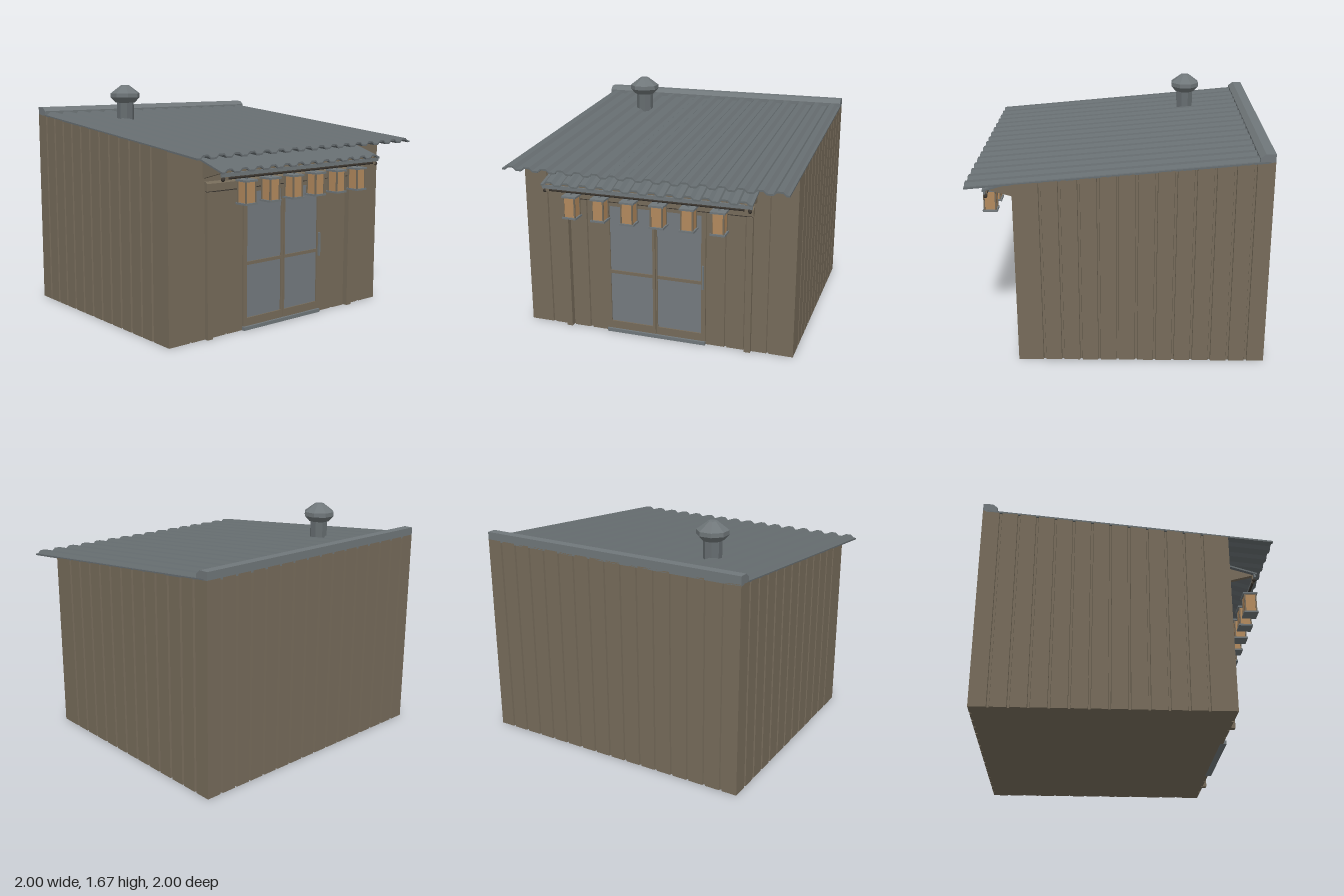
import * as THREE from 'three';

const mat = (name, color) => {
  const m = new THREE.MeshStandardMaterial({ color });
  m.name = name;
  return m;
};

export function createModel() {
  const wood = mat('wood', 0x766b5a);
  const roofMetal = mat('roofMetal', 0x666d70);
  const trimMetal = mat('trimMetal', 0x70777a);
  const glass = mat('glass', 0x747a7f);
  const lampPaper = mat('lampPaper', 0xb38a5e);
  const darkMetal = mat('darkMetal', 0x3a352f);

  const model = new THREE.Group();
  model.name = 'shed';
  const add = (name, geo, material, x = 0, y = 0, z = 0, parent = model) => {
    const m = new THREE.Mesh(geo, material);
    m.name = name;
    m.position.set(x, y, z);
    parent.add(m);
    return m;
  };
  // Box given by its limits
  const box = (name, material, x0, x1, y0, y1, z0, z1, parent) =>
    add(name, new THREE.BoxGeometry(x1 - x0, y1 - y0, z1 - z0), material,
      (x0 + x1) / 2, (y0 + y1) / 2, (z0 + z1) / 2, parent);
  // Extrusion along x of a [z, y] outline
  const prism = (points, width) => {
    const shape = new THREE.Shape(points.map(([z, y]) => new THREE.Vector2(-z, y)));
    return new THREE.ExtrudeGeometry(shape, { depth: width, bevelEnabled: false })
      .translate(0, 0, -width / 2).rotateY(Math.PI / 2);
  };

  const slope = 0.0947;
  const roofY = (z) => 1.285 + slope * (1 - z);

  // Walls: grooved floor plan, extruded up and cut to the roof slope
  const plan = [];
  const wallEdge = (ax, ay, bx, by, grooves) => {
    const len = Math.hypot(bx - ax, by - ay);
    const dx = (bx - ax) / len, dy = (by - ay) / len;
    const put = (s, d) => plan.push(new THREE.Vector2(ax + dx * s - dy * d, ay + dy * s + dx * d));
    put(0, 0);
    for (const s of grooves) {
      put(s - 0.01, 0);
      put(s - 0.007, 0.014);
      put(s + 0.007, 0.014);
      put(s + 0.01, 0);
    }
  };
  const sideGrooves = Array.from({ length: 12 }, (_, i) => 0.18 + i * 0.126);
  const backGrooves = Array.from({ length: 15 }, (_, i) => 0.118 + i * 0.126);
  wallEdge(-1, -0.69, 1, -0.69, [0.18, 0.345, 0.485, 1.515, 1.655, 1.82]);
  wallEdge(1, -0.69, 1, 1, sideGrooves);
  wallEdge(1, 1, -1, 1, backGrooves);
  wallEdge(-1, 1, -1, -0.69, sideGrooves.map((s) => 1.69 - s).reverse());
  const walls = new THREE.ExtrudeGeometry(new THREE.Shape(plan), { depth: 1, bevelEnabled: false })
    .rotateX(-Math.PI / 2);
  const wp = walls.attributes.position;
  for (let i = 0; i < wp.count; i++) {
    if (wp.getY(i) > 0.5) wp.setY(i, roofY(wp.getZ(i)) - 0.028);
  }
  walls.computeVertexNormals();
  add('walls', walls, wood);

  // Corrugated sheet falling towards the front; frontY is the crest height at z1
  const sheet = (count, pitch, z0, z1, frontY, fall) => {
    const top = [];
    const wave = [[0, 0], [0.16, 0], [0.34, 1], [0.66, 1], [0.84, 0]];
    const half = count * pitch / 2;
    for (let i = 0; i < count; i++) {
      for (const [u, h] of wave) top.push([-half + (i + u) * pitch, (h - 1) * 0.02]);
    }
    top.push([half, -0.02]);
    const outline = [...top.map(([x, y]) => [x, y - 0.012]), ...top.slice().reverse()];
    const shape = new THREE.Shape(outline.map(([x, y]) => new THREE.Vector2(x, y)));
    const g = new THREE.ExtrudeGeometry(shape, { depth: z1 - z0, bevelEnabled: false }).translate(0, 0, z0);
    const p = g.attributes.position;
    for (let i = 0; i < p.count; i++) p.setY(i, p.getY(i) + frontY + (z1 - p.getZ(i)) * fall);
    g.computeVertexNormals();
    return g;
  };
  add('roof', sheet(16, 0.125, -0.97, 1, 1.285, slope), roofMetal);
  add('ridgeCap', prism([[-0.9, 1.44], [-0.9, 1.472], [-0.935, 1.5], [-1, 1.5], [-1, 1.435]], 2), trimMetal);

  // Chimney
  const lathe = (pts) => {
    const g = new THREE.LatheGeometry(pts.map(([r, y]) => new THREE.Vector2(r, y)), 8, Math.PI / 8)
      .toNonIndexed();
    g.computeVertexNormals();
    return g;
  };
  const chimney = new THREE.Group();
  chimney.name = 'chimney';
  chimney.position.set(-0.53, 0, -0.5);
  model.add(chimney);
  add('chimneyPipe', lathe([[0.065, 1.38], [0.065, 1.56]]), roofMetal, 0, 0, 0, chimney);
  add('chimneyCap', lathe([[0, 1.54], [0.075, 1.54], [0.112, 1.58], [0.112, 1.61], [0.032, 1.67], [0, 1.67]]),
    trimMetal, 0, 0, 0, chimney);

  // Entrance posts and lintel
  for (const s of [-1, 1]) {
    box('entrancePost', wood, s * 0.68 - 0.022, s * 0.68 + 0.022, 0, 1.0, 0.67, 0.72);
  }
  add('lintel', prism([[0.68, 1.005], [0.72, 1.005], [0.72, 1.055], [0.705, 1.068], [0.68, 1.068]], 1.41), wood);
  box('lintelShadowStrip', darkMetal, -0.7, 0.7, 0.998, 1.006, 0.685, 0.716);

  // Double door
  const door = new THREE.Group();
  door.name = 'door';
  model.add(door);
  box('doorSill', trimMetal, -0.375, 0.37, 0, 0.025, 0.67, 0.715, door);
  for (const [x0, x1] of [[-0.375, -0.003], [0.003, 0.37]]) {
    const [a, b] = x0 < 0 ? [-0.343, -0.022] : [0.013, 0.338];
    box('doorStile', wood, x0, a, 0.028, 1, 0.68, 0.705, door);
    box('doorStile', wood, b, x1, 0.028, 1, 0.68, 0.705, door);
    box('doorBottomRail', wood, a, b, 0.028, 0.085, 0.68, 0.705, door);
    box('doorTopRail', wood, a, b, 0.968, 1, 0.68, 0.705, door);
    box('doorMiddleRail', wood, a, b, 0.46, 0.483, 0.68, 0.703, door);
    box('doorPane', glass, a, b, 0.085, 0.968, 0.688, 0.695, door);
  }
  box('doorHandle', trimMetal, 0.348, 0.36, 0.43, 0.605, 0.705, 0.72, door);

  // Awning with brackets and hanging rail
  add('awning', sheet(12, 0.125, 0.69, 0.93, 1.175, 0.3), roofMetal);
  for (const s of [-1, 1]) {
    add('awningBracket', prism([[0.69, 1.09], [0.91, 1.152], [0.69, 1.215]], 0.03), wood, s * 0.705);
    add('railEnd', new THREE.SphereGeometry(0.014, 8, 6), darkMetal, s * 0.728, 1.105, 0.91);
    box('railHanger', wood, s * 0.705 - 0.012, s * 0.705 + 0.012, 1.1, 1.15, 0.9, 0.92);
  }
  box('awningFascia', trimMetal, -0.745, 0.745, 1.122, 1.148, 0.908, 0.922);
  add('lanternRail', new THREE.CylinderGeometry(0.009, 0.009, 1.456, 8).rotateZ(Math.PI / 2),
    darkMetal, 0, 1.112, 0.91);

  // Row of lanterns
  for (let i = 0; i < 6; i++) {
    const lantern = new THREE.Group();
    lantern.name = 'lantern';
    lantern.position.set(-0.53 + i * 0.211, 0, 0.91);
    model.add(lantern);
    add('lanternHook', new THREE.CylinderGeometry(0.007, 0.007, 0.04, 6), trimMetal, 0, 1.105, 0, lantern);
    box('lanternCap', trimMetal, -0.052, 0.052, 1.08, 1.093, -0.052, 0.052, lantern);
    box('lanternBase', trimMetal, -0.052, 0.052, 0.929, 0.942, -0.052, 0.052, lantern);
    box('lanternShade', lampPaper, -0.04, 0.04, 0.942, 1.08, -0.04, 0.04, lantern);
    for (const sx of [-1, 1]) {
      for (const sz of [-1, 1]) {
        box('lanternFrame', wood, sx * 0.04 - 0.005, sx * 0.04 + 0.005, 0.942, 1.08,
          sz * 0.04 - 0.005, sz * 0.04 + 0.005, lantern);
      }
    }
  }
  return model;
}
